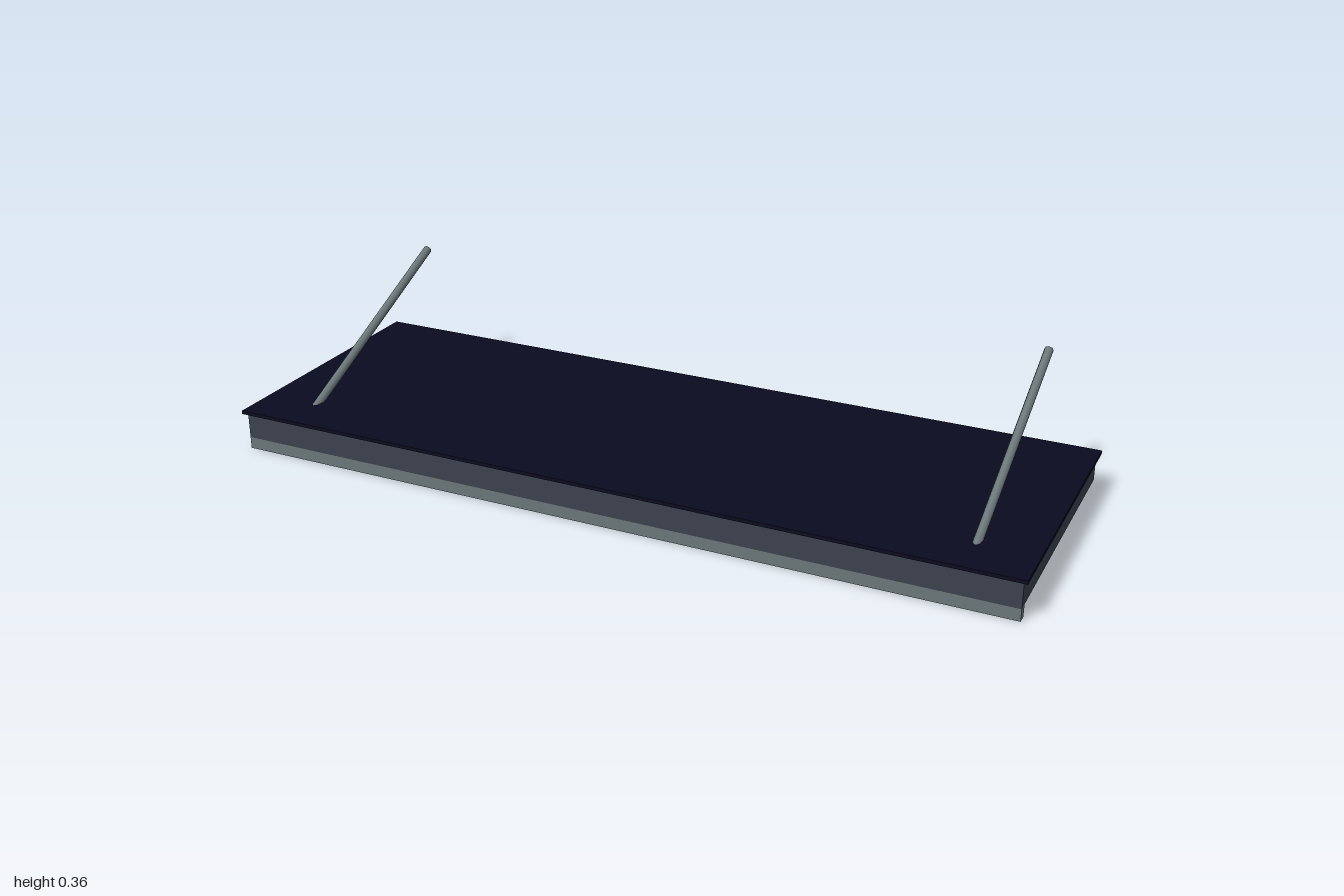
import * as THREE from 'three';

export function createModel() {
  const model = new THREE.Group();
  model.name = 'tiltingPanel';

  const glassNavy = new THREE.MeshStandardMaterial({ color: 0x0b0b20 });
  glassNavy.name = 'glass navy';
  const frameSlate = new THREE.MeshStandardMaterial({ color: 0x3b424f });
  frameSlate.name = 'frame slate';
  const metalGrey = new THREE.MeshStandardMaterial({ color: 0x6b7779 });
  metalGrey.name = 'metal grey';

  const add = (name, geometry, material, x, y, z) => {
    const mesh = new THREE.Mesh(geometry, material);
    mesh.name = name;
    mesh.position.set(x, y, z);
    model.add(mesh);
    return mesh;
  };

  // Thin glass sheet overhanging the frame
  add('glassPanel', new THREE.BoxGeometry(2, 0.009, 0.695), glassNavy, 0, 0.1005, 0);

  // Shallow frame under the glass
  add('frame', new THREE.BoxGeometry(1.98, 0.066, 0.674), frameSlate, 0, 0.063, 0);

  // Rail along the lower front edge
  add('frontRail', new THREE.BoxGeometry(1.98, 0.03, 0.023), metalGrey, 0, 0.015, 0.3255);

  // Two sloping struts, mirrored, rising toward the back
  const foot = new THREE.Vector3(0, 0.095, 0.238);
  const tip = new THREE.Vector3(0, 0.352, -0.314);
  const along = tip.clone().sub(foot);
  const strutGeometry = new THREE.CylinderGeometry(0.011, 0.011, along.length(), 8);
  const middle = foot.clone().add(tip).multiplyScalar(0.5);
  for (const side of [1, -1]) {
    const strut = add(side > 0 ? 'leftStrut' : 'rightStrut', strutGeometry, metalGrey,
      side * 0.858, middle.y, middle.z);
    strut.quaternion.setFromUnitVectors(new THREE.Vector3(0, 1, 0), along.clone().normalize());
  }

  return model;
}
